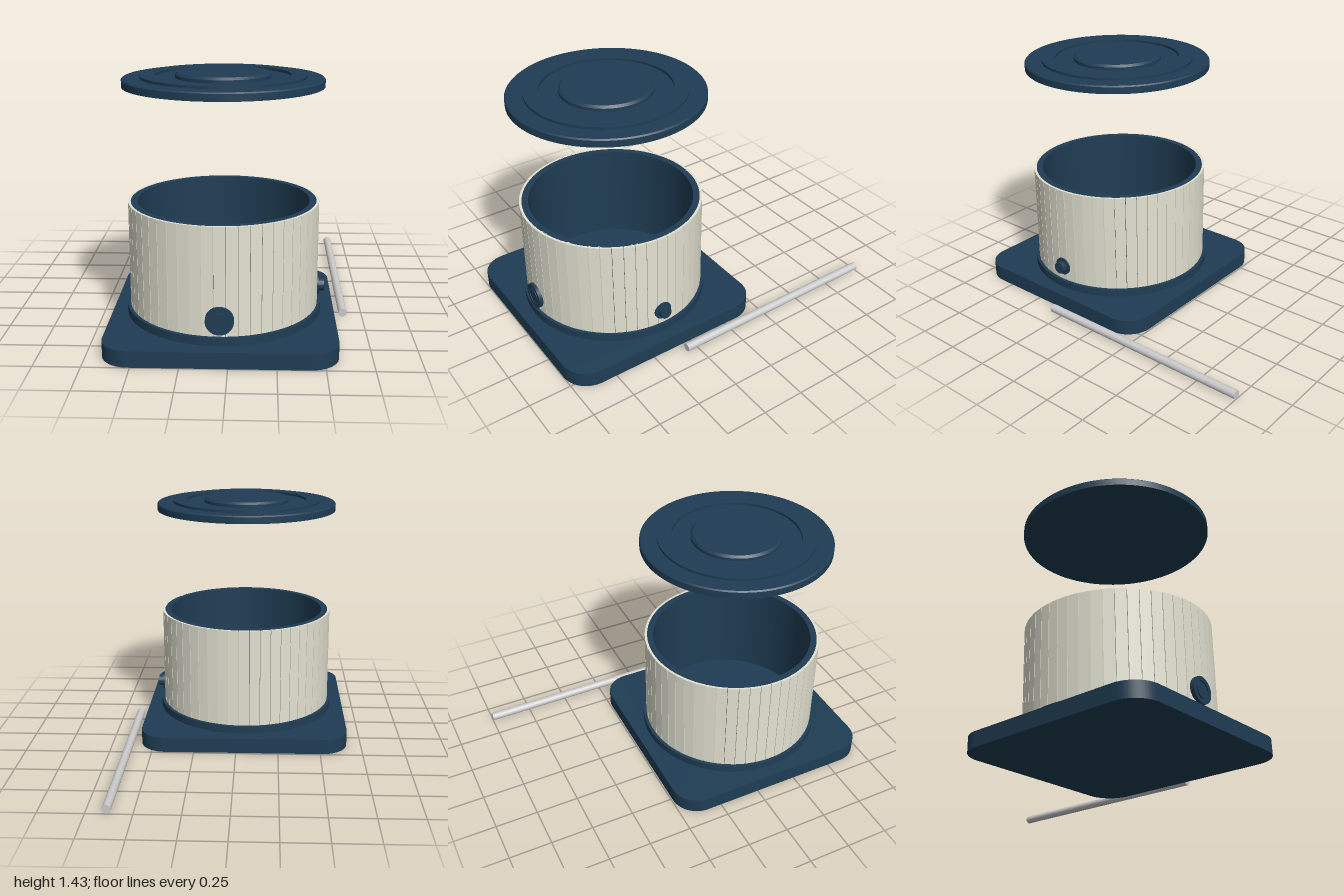
import * as THREE from 'three';
import { toCreasedNormals } from 'three/addons/utils/BufferGeometryUtils.js';

const CX = -0.045, CZ = 0.378;

export function createModel() {
  const model = new THREE.Group();
  model.name = 'drumContainer';
  const navy = new THREE.MeshStandardMaterial({ color: 0x1f3d54 });
  const cream = new THREE.MeshStandardMaterial({ color: 0xe4e3d3 });
  const grey = new THREE.MeshStandardMaterial({ color: 0xcccccc });

  // everything but the rod shares the drum's vertical axis
  const body = new THREE.Group();
  body.name = 'body';
  body.position.set(CX, 0, CZ);
  model.add(body);

  function add(parent, name, geometry, material) {
    const mesh = new THREE.Mesh(geometry, material);
    mesh.name = name;
    parent.add(mesh);
    return mesh;
  }

  // crisp-edged turned part from [radius, height] pairs
  function turned(points, segments = 96) {
    const profile = points.map(([r, y]) => new THREE.Vector2(r, y));
    return toCreasedNormals(new THREE.LatheGeometry(profile, segments), 0.5);
  }

  // square base plate with rounded corners
  const h = 0.62, c = 0.155;
  const plate = new THREE.Shape();
  plate.moveTo(h - c, -h);
  plate.absarc(h - c, -h + c, c, -Math.PI / 2, 0);
  plate.absarc(h - c, h - c, c, 0, Math.PI / 2);
  plate.absarc(-h + c, h - c, c, Math.PI / 2, Math.PI);
  plate.absarc(-h + c, -h + c, c, Math.PI, Math.PI * 1.5);
  plate.closePath();
  const plateGeometry = new THREE.ExtrudeGeometry(plate, { depth: 0.09, bevelEnabled: false, curveSegments: 16 });
  plateGeometry.rotateX(-Math.PI / 2);
  add(body, 'basePlate', toCreasedNormals(plateGeometry, 0.5), navy);

  // round step under the drum, also its floor
  add(body, 'baseRing', turned([[0, 0.09], [0.545, 0.09], [0.545, 0.135], [0, 0.135]]), navy);

  // open inner drum
  add(body, 'drumLiner', turned([
    [0.475, 0.135], [0.512, 0.135], [0.512, 0.725], [0.475, 0.725], [0.475, 0.135],
  ]), navy);

  // upright slats around the drum
  const slats = new THREE.Group();
  slats.name = 'slats';
  body.add(slats);
  const count = 52;
  const slatGeometry = new THREE.BoxGeometry(0.0605, 0.59, 0.02);
  for (let i = 0; i < count; i++) {
    const a = (i / count) * Math.PI * 2;
    const slat = add(slats, 'slat', slatGeometry, cream);
    slat.position.set(Math.sin(a) * 0.516, 0.43, Math.cos(a) * 0.516);
    slat.rotation.y = a;
  }

  // floating stepped lid with a groove around its centre
  add(body, 'lid', turned([
    [0, 1.355], [0.545, 1.355], [0.545, 1.393], [0.538, 1.4],
    [0.447, 1.4], [0.447, 1.415], [0.365, 1.415], [0.365, 1.4],
    [0.258, 1.4], [0.258, 1.417], [0.246, 1.43], [0, 1.43],
  ]), navy);

  // front dial with a recessed ring
  const dial = add(body, 'frontDial', turned([
    [0, 0], [0.075, 0], [0.075, 0.03], [0.052, 0.03], [0.052, 0.022],
    [0.042, 0.022], [0.042, 0.03], [0, 0.03],
  ], 40), navy);
  dial.rotation.x = Math.PI / 2;
  dial.position.set(0, 0.225, 0.515);

  // stepped knob on the left side
  const knob = add(body, 'sideKnob', turned([
    [0, 0], [0.053, 0], [0.053, 0.022], [0.035, 0.022], [0.035, 0.052], [0, 0.052],
  ], 36), navy);
  knob.rotation.z = -Math.PI / 2;
  knob.position.set(0.513, 0.225, 0);

  // loose rod beside the base
  const rod = add(model, 'rod', new THREE.CylinderGeometry(0.024, 0.024, 1.32, 24), grey);
  rod.rotation.x = Math.PI / 2;
  rod.position.set(0.637, 0.027, -0.34);

  return model;
}
